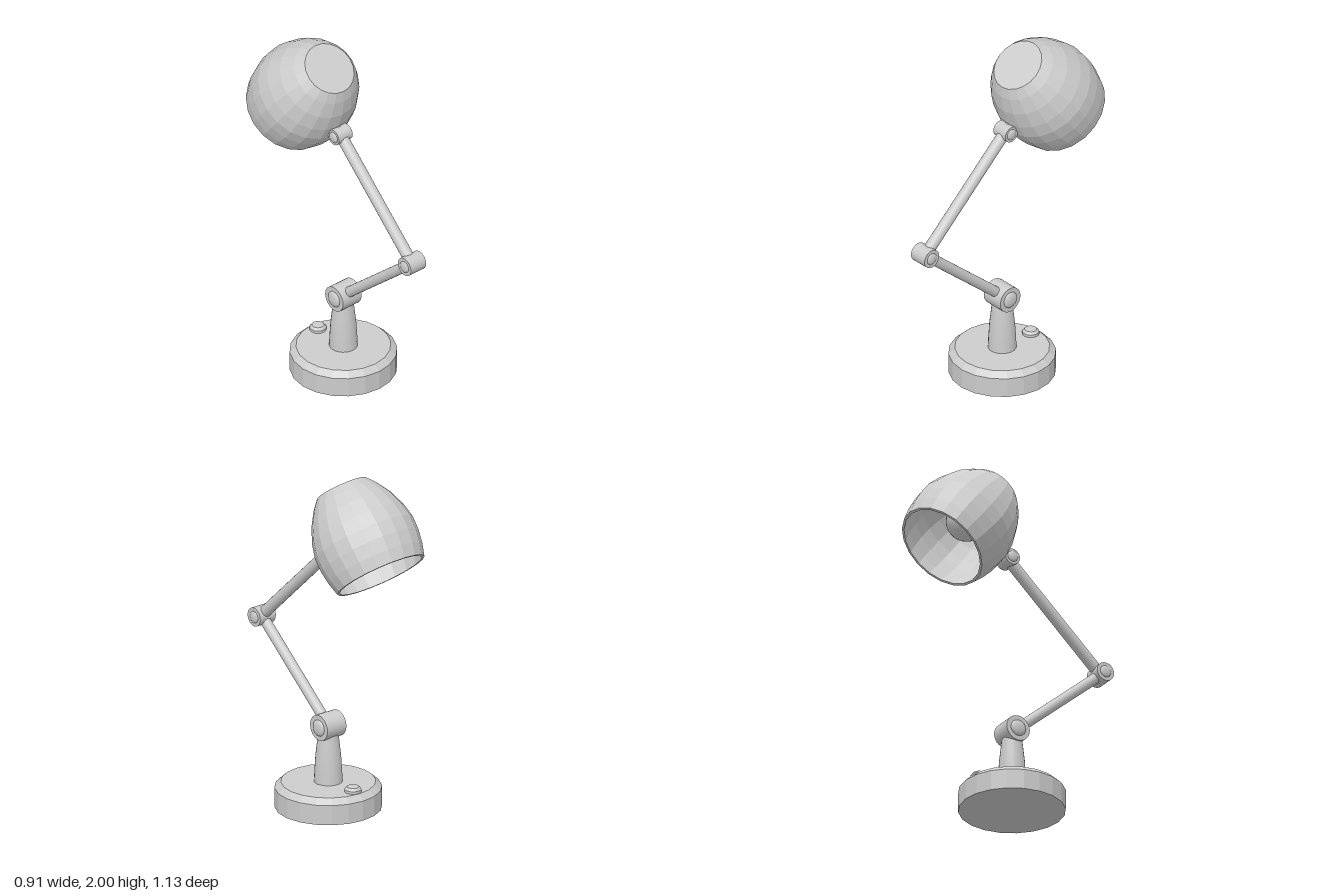
import * as THREE from 'three';
import { toCreasedNormals } from 'three/addons/utils/BufferGeometryUtils.js';

const grey = new THREE.MeshStandardMaterial({ color: 0xcccccc });
grey.name = 'light grey';

function add(parent, name, geometry) {
  const mesh = new THREE.Mesh(geometry, grey);
  mesh.name = name;
  parent.add(mesh);
  return mesh;
}

// Turned profile given as [radius, height] pairs, bottom to top
function turned(points, sides, crease) {
  const profile = points.map(([r, y]) => new THREE.Vector2(r, y));
  return toCreasedNormals(new THREE.LatheGeometry(profile, sides), crease);
}

// Straight round rod between two points in the arm plane (y, z)
function rod(parent, name, [y0, z0], [y1, z1], radius) {
  const length = Math.hypot(y1 - y0, z1 - z0);
  const mesh = add(parent, name, new THREE.CylinderGeometry(radius, radius, length, 20));
  mesh.position.set(0, (y0 + y1) / 2, (z0 + z1) / 2);
  mesh.rotation.x = Math.atan2(z1 - z0, y1 - y0);
}

// Hinge barrel across the arm plane with a domed bolt on each end
function hinge(parent, name, [y, z], radius, half, boltRadius, boltHeight) {
  const group = new THREE.Group();
  group.name = name;
  group.position.set(0, y, z);
  const barrel = add(group, name + 'Barrel', new THREE.CylinderGeometry(radius, radius, half * 2, 28));
  barrel.rotation.z = Math.PI / 2;
  for (const side of [-1, 1]) {
    const dome = new THREE.SphereGeometry(boltRadius, 20, 6, 0, Math.PI * 2, 0, Math.PI / 2);
    dome.scale(1, boltHeight / boltRadius, 1);
    const bolt = add(group, name + 'Bolt', dome);
    bolt.position.x = side * half;
    bolt.rotation.z = -side * Math.PI / 2;
  }
  parent.add(group);
}

export function createModel() {
  const model = new THREE.Group();
  model.name = 'deskLamp';

  // The whole lamp lies in one vertical plane, turned about the post
  const lamp = new THREE.Group();
  lamp.name = 'lamp';
  lamp.position.set(0.048, 0, 0.033);
  lamp.rotation.y = 0.621;
  model.add(lamp);

  // Base, switch and post
  add(lamp, 'base', turned([[0, 0], [0.297, 0], [0.297, 0.115], [0.262, 0.147], [0, 0.147]], 20, 0.05));
  const button = add(lamp, 'switchButton',
    turned([[0.047, 0.14], [0.047, 0.162], [0.034, 0.176], [0, 0.178]], 16, 0.5));
  button.position.z = -0.21;
  add(lamp, 'post', turned([[0.079, 0.14], [0.077, 0.2], [0.071, 0.3], [0.062, 0.38], [0.054, 0.45]], 24, 0.6));

  // Hinges and arms
  const shoulder = [0.475, 0], elbow = [0.958, 0.567], wrist = [1.517, -0.025];
  hinge(lamp, 'shoulderHinge', shoulder, 0.074, 0.068, 0.047, 0.018);
  hinge(lamp, 'elbowHinge', elbow, 0.054, 0.056, 0.034, 0.012);
  hinge(lamp, 'wristHinge', wrist, 0.046, 0.05, 0.032, 0.012);
  rod(lamp, 'lowerArm', shoulder, elbow, 0.03);
  rod(lamp, 'upperArm', elbow, wrist, 0.033);

  // Head, with its origin at the flat cap and its axis running down
  const head = new THREE.Group();
  head.name = 'head';
  head.position.set(0, 1.905, -0.115);
  head.rotation.x = 0.68;
  lamp.add(head);

  const outer = [[0.262, -0.53], [0.281, -0.46], [0.293, -0.38], [0.294, -0.3],
    [0.276, -0.22], [0.241, -0.13], [0.192, -0.05], [0.15, 0]];
  const inner = outer.map(([r, y]) => [r - 0.014, Math.min(y, -0.015)]).reverse();
  inner[inner.length - 1][1] = -0.53;
  add(head, 'shade', turned([[0, -0.015], ...inner, ...outer, [0, 0]], 20, 0.02));

  // Bulb and socket inside the shade
  const bulb = add(head, 'bulb', new THREE.SphereGeometry(0.115, 20, 14));
  bulb.position.y = -0.28;
  const socket = add(head, 'bulbSocket', new THREE.CylinderGeometry(0.06, 0.06, 0.2, 20));
  socket.position.y = -0.11;

  // Short stub joining the shade to the wrist hinge
  const stub = add(head, 'shadeBracket', new THREE.CylinderGeometry(0.035, 0.035, 0.07, 16));
  stub.position.set(0, -0.25, 0.285);
  stub.rotation.x = Math.PI / 2;

  return model;
}
